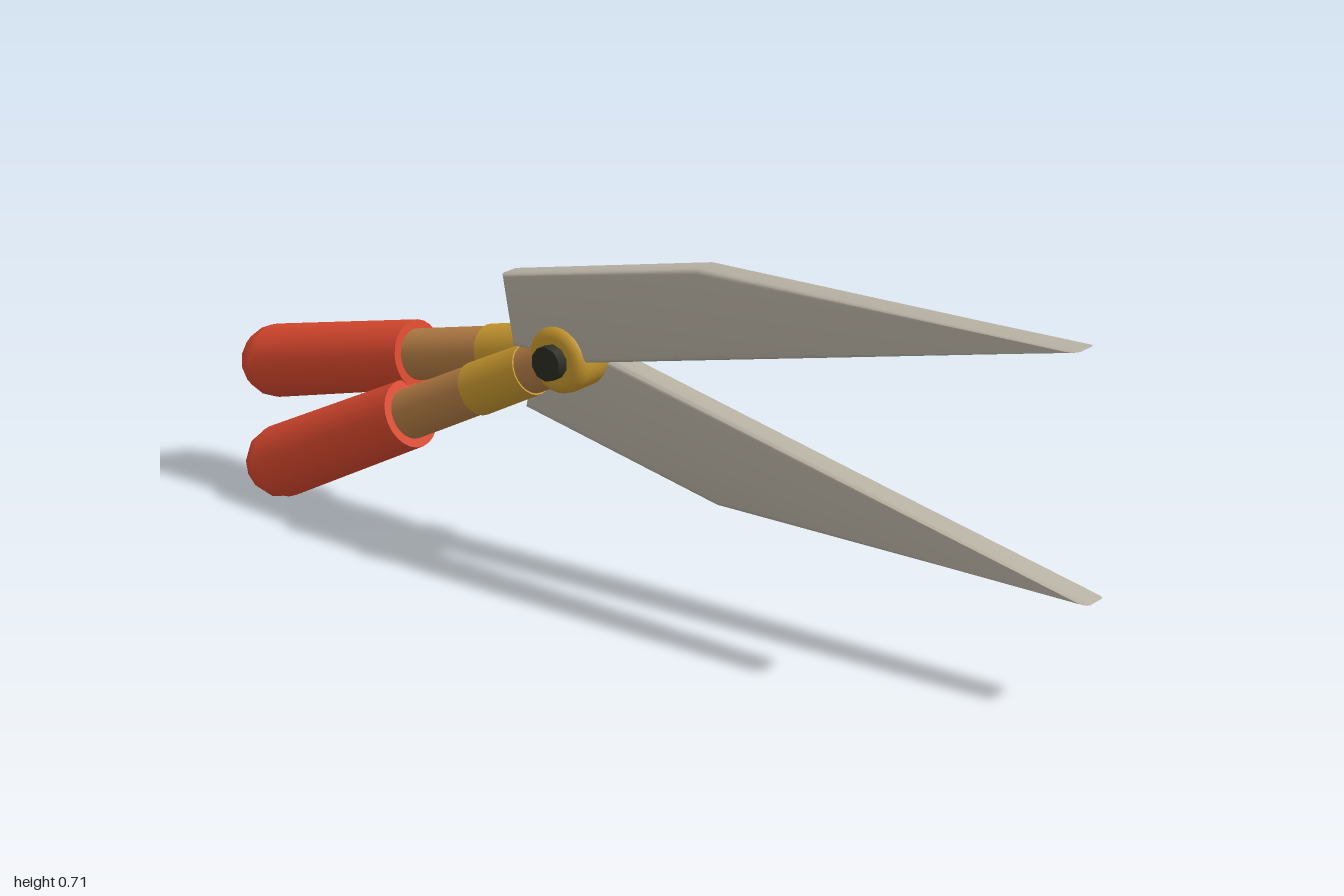
import * as THREE from 'three';
import { toCreasedNormals } from 'three/addons/utils/BufferGeometryUtils.js';

const material = (name, color) => {
  const m = new THREE.MeshStandardMaterial({ color });
  m.name = name;
  return m;
};

const PIVOT_X = -0.163, PIVOT_Y = 0.464;

export function createModel() {
  const steel = material('steel', 0xb8b2a4);
  const brass = material('brass', 0xc8982f);
  const wood = material('wood', 0xb57d45);
  const grip = material('red grip', 0xd9482e);
  const dark = material('dark pin', 0x2a2c22);

  const model = new THREE.Group();
  model.name = 'gardenShears';

  const add = (parent, name, geometry, mat) => {
    const mesh = new THREE.Mesh(geometry, mat);
    mesh.name = name;
    parent.add(mesh);
    return mesh;
  };

  // Blade outline around the pivot height; side = 1 opens upward, -1 downward
  const addBlade = (name, side, z) => {
    const outline = [[-0.268, 0.016], [-0.1, 0.016], [0.983, 0.248], [0.17, 0.236], [-0.291, 0.138]];
    const shape = new THREE.Shape(outline.map(([x, y]) => new THREE.Vector2(x, y * side)));
    const bevel = 0.012, thickness = 0.062;
    const geometry = new THREE.ExtrudeGeometry(shape, {
      depth: thickness - 2 * bevel, bevelThickness: bevel, bevelSize: bevel, bevelSegments: 3,
    });
    geometry.translate(0, PIVOT_Y, z - thickness / 2 + bevel);
    add(model, name, toCreasedNormals(geometry, 0.7), steel);
  };
  addBlade('upperBlade', 1, 0.035);
  addBlade('lowerBlade', -1, -0.035);

  // Handle built along local -x from the pivot, then swung down by its angle
  const addHandle = (name, degrees, z) => {
    const handle = new THREE.Group();
    handle.name = name;
    const rod = (part, from, to, rFrom, rTo, mat) => {
      const geometry = new THREE.CylinderGeometry(rTo, rFrom, to - from, 24);
      geometry.rotateZ(Math.PI / 2).translate(-(from + to) / 2, 0, 0);
      add(handle, part, geometry, mat);
    };
    rod('shaft', 0.02, 0.5, 0.049, 0.053, wood);
    rod('collar', 0.1, 0.255, 0.053, 0.055, brass);
    rod('grip', 0.455, 0.855, 0.071, 0.077, grip);
    const end = new THREE.SphereGeometry(0.077, 12, 4, 0, Math.PI * 2, 0, Math.PI / 2);
    end.rotateZ(Math.PI / 2).translate(-0.855, 0, 0);
    add(handle, 'gripEnd', end, grip);
    handle.position.set(PIVOT_X, PIVOT_Y, z);
    handle.rotation.z = THREE.MathUtils.degToRad(degrees);
    model.add(handle);
  };
  addHandle('frontHandle', 26.9, 0.035);
  addHandle('backHandle', 13.4, -0.035);

  // Rounded boss around the pivot
  const R = 0.07, H = 0.077, round = 0.025;
  const profile = [new THREE.Vector2(0, -H)];
  for (const end of [-1, 1]) {
    for (let i = 0; i <= 4; i++) {
      const a = (end < 0 ? i - 4 : i) * Math.PI / 8;
      profile.push(new THREE.Vector2(
        R - round + round * Math.cos(a), end * (H - round) + round * Math.sin(a)));
    }
  }
  profile.push(new THREE.Vector2(0, H));
  const boss = new THREE.LatheGeometry(profile, 28).rotateX(Math.PI / 2);
  add(model, 'pivotBoss', boss, brass).position.set(PIVOT_X, PIVOT_Y, 0.002);

  // Pin through the boss
  const pin = new THREE.CylinderGeometry(0.035, 0.035, 0.204, 10).rotateX(Math.PI / 2);
  add(model, 'pivotPin', pin, dark).position.set(PIVOT_X, PIVOT_Y, 0.001);

  return model;
}
